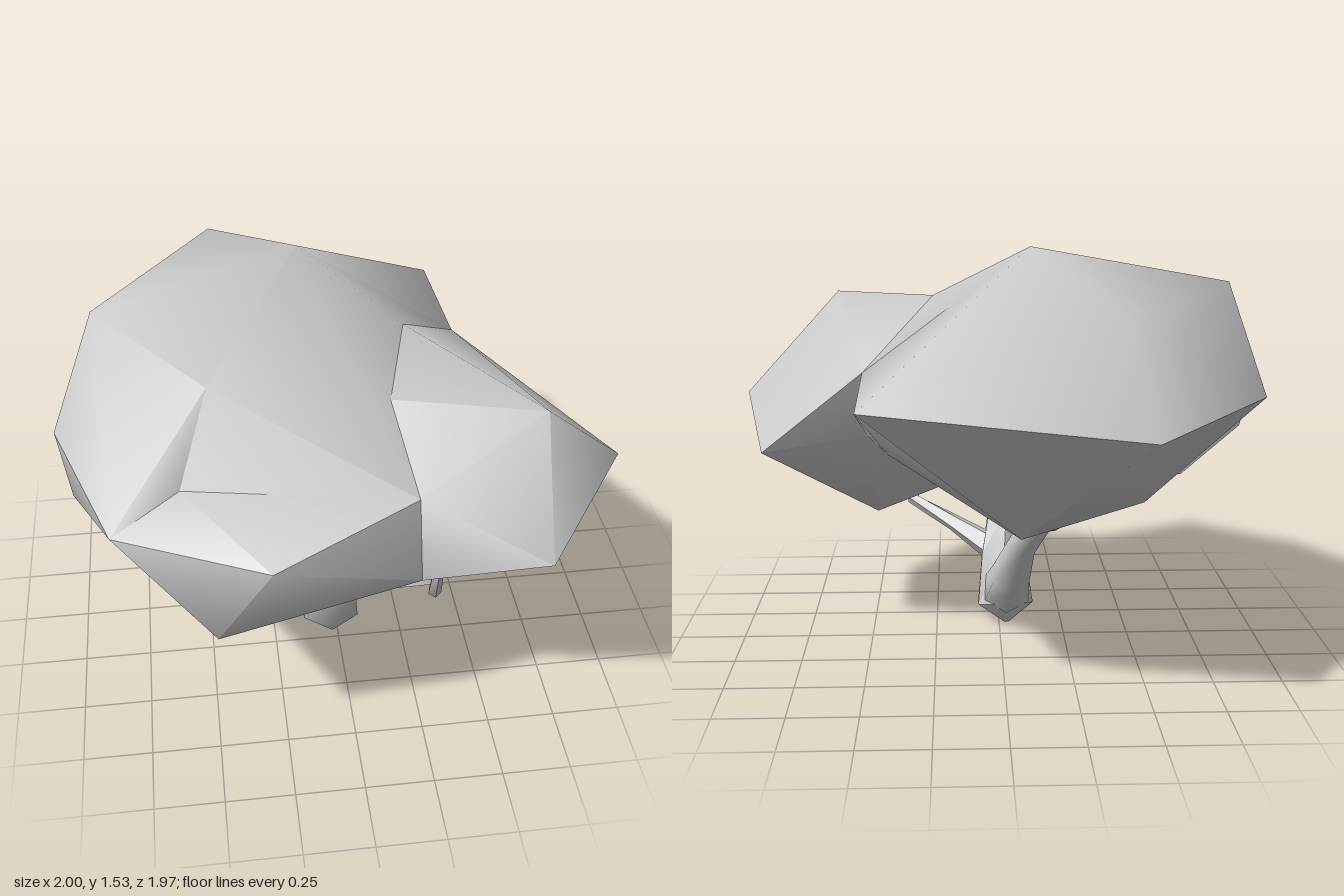
import * as THREE from 'three';
import { ConvexGeometry } from 'three/addons/geometries/ConvexGeometry.js';
import { toCreasedNormals } from 'three/addons/utils/BufferGeometryUtils.js';

const grey = new THREE.MeshStandardMaterial({ color: 0xcccccc });
const bark = new THREE.MeshStandardMaterial({ color: 0xcccccc, side: THREE.DoubleSide });
const vec = (p) => new THREE.Vector3(p[0], p[1], p[2]);

// Faceted leaf mass spanned by a few corner points, softened across shallow edges
function foliage(name, points) {
  const geometry = toCreasedNormals(new ConvexGeometry(points.map(vec)), 1.1);
  const mesh = new THREE.Mesh(geometry, grey);
  mesh.name = name;
  return mesh;
}

// Tapered limb: rings of vertices along a path of [x, y, z, radius]
function limb(name, path, sides = 6) {
  const positions = [], index = [];
  const centres = path.map(vec);
  centres.forEach((c, i) => {
    const dir = centres[Math.min(i + 1, path.length - 1)].clone()
      .sub(centres[Math.max(i - 1, 0)]).normalize();
    const turn = new THREE.Quaternion().setFromUnitVectors(new THREE.Vector3(0, 1, 0), dir);
    for (let j = 0; j < sides; j++) {
      const a = (j / sides) * Math.PI * 2;
      const p = new THREE.Vector3(Math.sin(a), 0, Math.cos(a))
        .multiplyScalar(path[i][3]).applyQuaternion(turn).add(c);
      positions.push(p.x, p.y, p.z);
      if (i === 0) continue;
      const k = (j + 1) % sides, lo = (i - 1) * sides, hi = i * sides;
      index.push(lo + j, lo + k, hi + k, lo + j, hi + k, hi + j);
    }
  });
  const geometry = new THREE.BufferGeometry();
  geometry.setAttribute('position', new THREE.Float32BufferAttribute(positions, 3));
  geometry.setIndex(index);
  const mesh = new THREE.Mesh(toCreasedNormals(geometry, 1.1), bark);
  mesh.name = name;
  return mesh;
}

export function createModel() {
  const tree = new THREE.Group();
  tree.name = 'tree';

  // Corners where neighbouring leaf masses meet
  const peak = [-0.1, 1.53, -0.2], shoulder = [-0.46, 1.36, 0.4], ledge = [-0.57, 1.1, 0.6];
  const saddle = [0.25, 1.33, 0.05], notch = [0.5, 1.09, -0.26], frontNotch = [0.2, 1.1, 0.74];
  const lowNotch = [0.49, 0.85, -0.2], lowFront = [0.21, 0.79, 0.79], underside = [0.42, 0.75, -0.1];

  // Canopy: three overlapping leaf masses and the crown that joins them
  const canopy = new THREE.Group();
  canopy.name = 'canopy';
  canopy.add(
    foliage('backFoliage', [
      peak, shoulder, notch, lowNotch, underside,
      [-0.46, 0.99, -0.99], [0.49, 1.05, -0.79], [-0.4, 1.34, -0.72], [-0.84, 1.39, -0.07],
      [-0.92, 1.02, -0.4], [-1, 1.04, 0.15], [-0.05, 0.59, -0.66], [-0.49, 0.66, -0.46],
      [-0.81, 0.97, 0.66], ledge, [-0.6, 0.75, 0.3], [0.1, 0.78, 0.3],
    ]),
    foliage('frontFoliage', [
      ledge, frontNotch, lowFront,
      [-0.81, 0.97, 0.66], [-0.3, 1.05, 0.98], [-1, 1.04, 0.15], [-0.96, 0.79, 0.2],
      [-0.73, 0.59, 0.2], [-0.48, 0.65, 0.84], [0.2, 0.72, 0.2], [0.1, 1.12, 0.3],
    ]),
    foliage('leftFoliage', [
      saddle, notch, frontNotch, lowNotch, underside, lowFront,
      [0.65, 1.29, 0.57], [1, 0.91, 0.35], [0.7, 0.98, -0.06], [0.9, 0.75, -0.05],
      [0.61, 0.94, 0.93], [0.48, 0.45, 0.2], [0.22, 0.56, 0.5], [-0.3, 1.2, 0.2],
      [-0.2, 0.72, 0.2],
    ]),
    foliage('crownFoliage', [
      peak, shoulder, ledge, saddle, notch, frontNotch, lowNotch, [0, 0.78, 0.3],
    ]),
  );

  // Forked trunk and its branches
  const trunk = new THREE.Group();
  trunk.name = 'trunk';
  trunk.add(
    limb('frontLimb', [
      [-0.03, 0, 0.13, 0.01], [-0.025, 0.08, 0.14, 0.125], [-0.02, 0.26, 0.2, 0.1],
      [-0.03, 0.44, 0.28, 0.075], [-0.1, 0.58, 0.27, 0.06], [-0.17, 0.76, 0.25, 0.05],
    ]),
    limb('backLimb', [
      [-0.03, 0.15, 0.1, 0.1], [-0.04, 0.26, -0.06, 0.08], [-0.08, 0.42, -0.17, 0.055],
      [-0.15, 0.56, -0.29, 0.045], [-0.22, 0.72, -0.43, 0.035],
    ]),
    limb('upperBranch', [
      [-0.03, 0.42, 0.25, 0.055], [0.03, 0.52, 0.22, 0.04], [0.14, 0.72, 0.2, 0.03],
    ], 5),
    limb('sideBranch', [
      [0, 0.27, 0.22, 0.06], [0.18, 0.36, 0.33, 0.035], [0.35, 0.44, 0.42, 0.025],
      [0.31, 0.5, 0.55, 0.025], [0.31, 0.64, 0.59, 0.02],
    ], 5),
    limb('rearTwig', [
      [-0.14, 0.53, -0.27, 0.035], [-0.17, 0.57, -0.42, 0.025], [-0.2, 0.64, -0.6, 0.015],
    ], 5),
  );

  tree.add(canopy, trunk);
  return tree;
}
